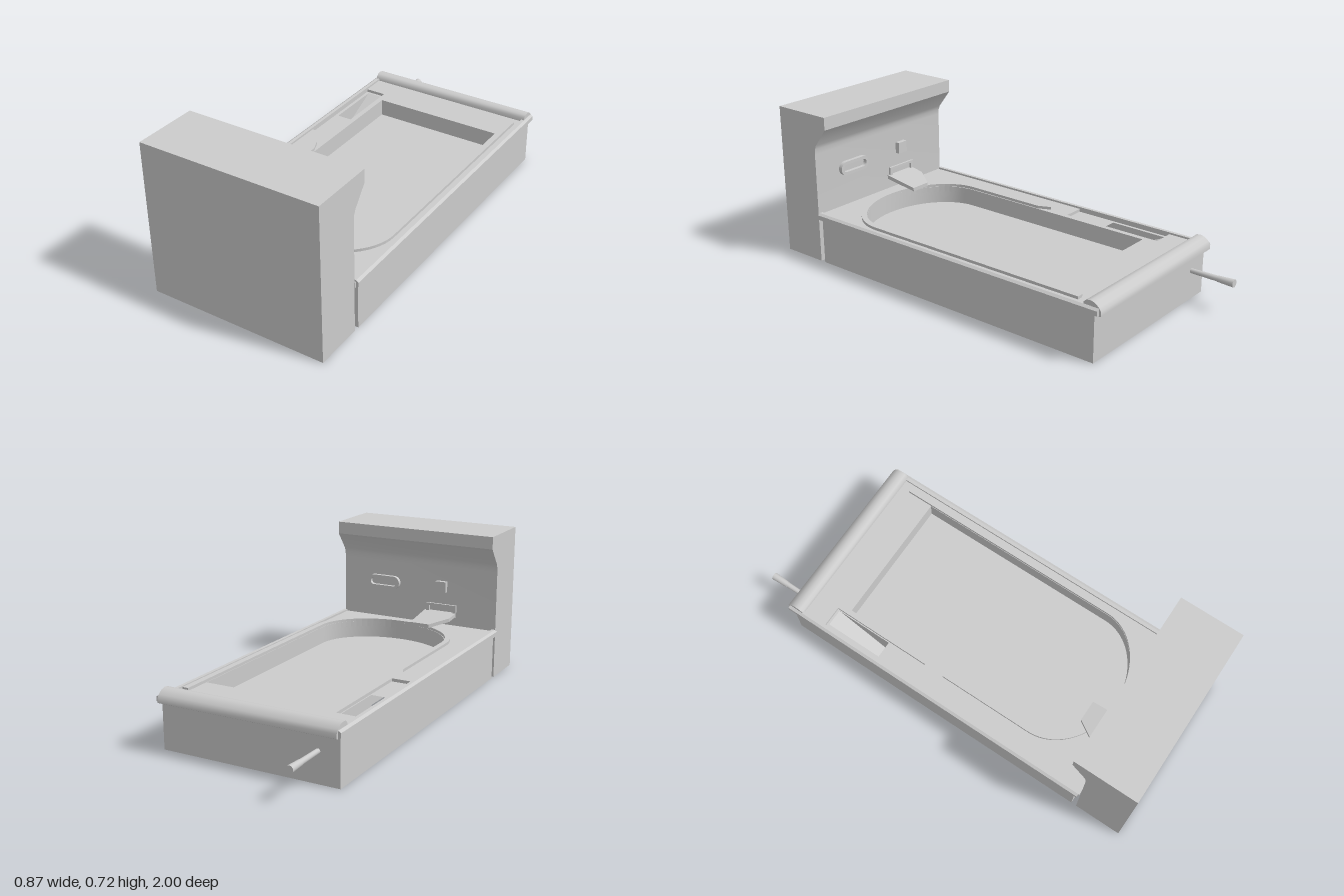
import * as THREE from 'three';
import { toCreasedNormals } from 'three/addons/utils/BufferGeometryUtils.js';

const material = new THREE.MeshStandardMaterial({ color: 0xcccccc, side: THREE.DoubleSide });

export function createModel() {
  const root = new THREE.Group();

  const add = (name, geometry, parent = root) => {
    const mesh = new THREE.Mesh(geometry, material);
    mesh.name = name;
    parent.add(mesh);
    return mesh;
  };

  // Open sheet made by sweeping a polyline of [x, y, z] points along an offset
  const sweep = (points, offset) => {
    const pos = [], index = [];
    points.forEach(([x, y, z], i) => {
      pos.push(x, y, z, x + offset[0], y + offset[1], z + offset[2]);
      if (i) index.push(2 * i - 2, 2 * i, 2 * i - 1, 2 * i - 1, 2 * i, 2 * i + 1);
    });
    const g = new THREE.BufferGeometry();
    g.setAttribute('position', new THREE.Float32BufferAttribute(pos, 3));
    g.setIndex(index);
    return toCreasedNormals(g, 0.6);
  };

  // Plan shapes are drawn in (x, z) and laid flat
  const plan = (points) => new THREE.Shape(points.map(([x, z]) => new THREE.Vector2(x, -z)));
  const sheet = (shape, y) => new THREE.ShapeGeometry(shape).rotateX(-Math.PI / 2).translate(0, y, 0);
  const slab = (shape, y0, y1) => new THREE.ExtrudeGeometry(shape, { depth: y1 - y0, bevelEnabled: false })
    .rotateX(-Math.PI / 2).translate(0, y0, 0);

  // Side profiles are drawn in (z, y) and run across x
  const profile = (points) => new THREE.Shape(points.map((p) => new THREE.Vector2(...p)));
  const across = (shape, x0, x1) => toCreasedNormals(
    new THREE.ExtrudeGeometry(shape, { depth: x1 - x0, bevelEnabled: false })
      .rotateY(-Math.PI / 2).translate(x1, 0, 0), 0.7);
  const side = (shape, x) => new THREE.ShapeGeometry(shape).rotateY(-Math.PI / 2).translate(x, 0, 0);
  const rect = (x0, x1, z0, z1) => [[x0, z0], [x0, z1], [x1, z1], [x1, z0]];

  // U outline with an elliptical end: left side, arc, right side
  const uPath = (x0, x1, zLeft, zRight, zMid, depth) => {
    const pts = [[x0, zLeft]], n = 32;
    for (let i = 0; i <= n; i++) {
      const a = Math.PI * (1 - i / n);
      pts.push([(x0 + x1) / 2 + (x1 - x0) / 2 * Math.cos(a), zMid + depth * Math.sin(a)]);
    }
    pts.push([x1, zRight]);
    return pts;
  };

  // Tub skirt: four walls, open underneath
  const corners = rect(-0.42, 0.42, -0.79, 0.75);
  add('skirt', sweep([...corners, corners[0]].map(([x, z]) => [x, 0, z]), [0, 0.21, 0]));

  // Deck with openings for the basin and the side ledge
  const basin = uPath(-0.28, 0.36, -0.56, -0.56, 0.43, 0.25);
  const ledge = rect(-0.41, -0.305, -0.62, -0.13);
  const deck = plan(rect(-0.42, 0.42, -0.81, 0.77));
  deck.holes.push(plan(basin), plan(ledge));
  add('deck', slab(deck, 0.21, 0.237));

  // Basin
  add('basinWall', sweep([...basin, basin[0]].map(([x, z]) => [x, 0.155, z]), [0, 0.08, 0]));
  add('basinFloor', sheet(plan(basin), 0.155));

  // Raised lip around the basin, tapering out on the ledge side
  const lipOuter = uPath(-0.31, 0.39, -0.03, -0.69, 0.43, 0.27);
  const lipInner = uPath(-0.285, 0.362, 0.03, -0.69, 0.43, 0.25).reverse();
  add('basinLip', slab(plan([...lipOuter, ...lipInner]), 0.235, 0.25));

  // Sunken ledge with a sloping pocket
  const ledgeShape = plan(ledge);
  ledgeShape.holes.push(plan(rect(-0.39, -0.31, -0.61, -0.33)));
  add('sideLedge', sheet(ledgeShape, 0.223));
  add('pocketRamp', sweep([[-0.39, 0.223, -0.61], [-0.39, 0.09, -0.33]], [0.08, 0, 0]));
  const cheek = profile([[-0.61, 0.223], [-0.33, 0.09], [-0.33, 0.223]]);
  for (const x of [-0.39, -0.31]) add('pocketCheek', side(cheek, x));

  // Chamfered rails along both long sides
  for (const s of [-1, 1]) {
    const rail = new THREE.Shape([[0.405, 0.21], [0.421, 0.21], [0.433, 0.217], [0.433, 0.238], [0.421, 0.246], [0.405, 0.246]]
      .map(([x, y]) => new THREE.Vector2(s * x, y)));
    add('sideRail', new THREE.ExtrudeGeometry(rail, { depth: 1.575, bevelEnabled: false }).translate(0, 0, -0.81));
  }

  // Rounded roll across the back edge
  add('backRoll', across(profile([[-0.735, 0.235], [-0.738, 0.256], [-0.75, 0.267], [-0.77, 0.27], [-0.79, 0.265],
    [-0.81, 0.25], [-0.82, 0.235], [-0.82, 0.215], [-0.81, 0.21], [-0.79, 0.215]]), -0.42, 0.42));

  // Tall end panel with an overhanging top, hollow and open underneath
  const panel = [[1, 0], [1, 0.72], [0.7, 0.72], [0.7, 0.66], [0.765, 0.575], [0.773, 0.555], [0.775, 0.53], [0.775, 0]];
  add('endPanel', sweep(panel.map(([z, y]) => [-0.42, y, z]), [0.84, 0, 0]));
  for (const x of [-0.42, 0.42]) add('endPanelSide', side(profile(panel), x));

  // Oval grip on the panel: ring around a shallow pad
  const capsule = (shape, half, r) => shape
    .absarc(half, 0, r, -Math.PI / 2, Math.PI / 2).absarc(-half, 0, r, Math.PI / 2, Math.PI * 1.5);
  const ring = capsule(new THREE.Shape(), 0.055, 0.033);
  ring.holes.push(capsule(new THREE.Path(), 0.055, 0.018));
  add('ovalGrip', new THREE.ExtrudeGeometry(ring, { depth: 0.02, bevelEnabled: false, curveSegments: 10 }))
    .position.set(0.19, 0.42, 0.756);
  add('controlKnob', new THREE.BoxGeometry(0.055, 0.055, 0.025)).position.set(-0.13, 0.43, 0.765);

  // Water outlet: frame on the panel and a sloping spout plate
  const frame = plan(rect(-0.08, 0.08, -0.03, 0.03));
  frame.holes.push(plan(rect(-0.065, 0.065, -0.018, 0.018)));
  add('outletFrame', new THREE.ExtrudeGeometry(frame, { depth: 0.012, bevelEnabled: false })).position.set(-0.13, 0.31, 0.764);
  const spout = slab(plan([[-0.04, 0.6], [-0.14, 0.6], [-0.205, 0.7], [-0.21, 0.775], [-0.04, 0.775]]), 0, 0.018);
  const p = spout.attributes.position;
  for (let i = 0; i < p.count; i++) p.setY(i, p.getY(i) + 0.258 + (p.getZ(i) - 0.6) * 0.15);
  spout.computeVertexNormals();
  add('spout', spout);

  // Lever at the back
  const lever = new THREE.Group();
  lever.name = 'lever';
  lever.position.set(-0.32, 0.138, 0);
  root.add(lever);
  const rod = (name, r0, r1, z0, z1) => add(name, new THREE.CylinderGeometry(r0, r1, z1 - z0, 16)
    .rotateX(Math.PI / 2).translate(0, 0, (z0 + z1) / 2), lever);
  rod('leverShaft', 0.011, 0.013, -0.93, -0.785);
  rod('leverGrip', 0.014, 0.018, -1, -0.92);

  return root;
}
